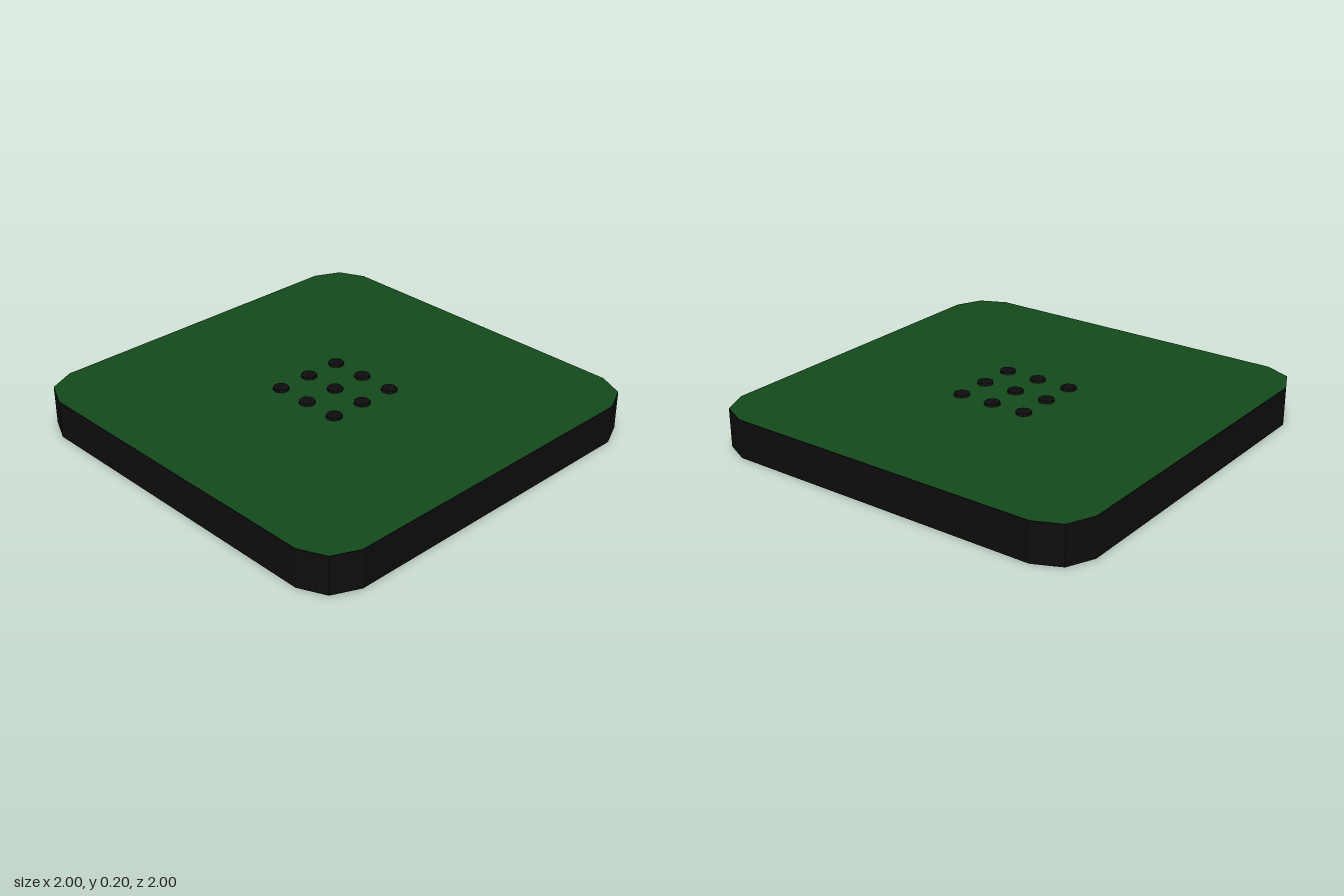
import * as THREE from 'three';

const HEIGHT = 0.19;

// Square outline with two-step chamfered corners
function outline() {
  const corner = [[1, 0.81], [0.94, 0.94], [0.81, 1]];
  const points = [];
  for (let i = 0; i < 4; i++) {
    for (const [x, y] of corner) {
      points.push(new THREE.Vector2(x, y).rotateAround(new THREE.Vector2(), i * Math.PI / 2));
    }
  }
  return new THREE.Shape(points);
}

export function createModel() {
  const group = new THREE.Group();
  const black = new THREE.MeshStandardMaterial({ color: 0x0d0d0d, flatShading: true });
  const green = new THREE.MeshStandardMaterial({ color: 0x14491b, flatShading: true });
  const add = (name, geometry, material, parent = group) => {
    const mesh = new THREE.Mesh(geometry, material);
    mesh.name = name;
    parent.add(mesh);
    return mesh;
  };

  // Dark slab
  const slab = new THREE.ExtrudeGeometry(outline(), { depth: HEIGHT, bevelEnabled: false });
  add('baseSlab', slab.rotateX(-Math.PI / 2), black);

  // Green sheet laid on the slab
  const sheet = new THREE.ShapeGeometry(outline()).rotateX(-Math.PI / 2);
  add('topSurface', sheet, green).position.y = HEIGHT + 0.003;

  // Three by three grid of low studs
  const studs = new THREE.Group();
  studs.name = 'studs';
  group.add(studs);
  const stud = new THREE.CylinderGeometry(0.038, 0.041, 0.025, 10);
  for (const x of [-0.18, 0, 0.18]) {
    for (const z of [-0.18, 0, 0.18]) {
      add('stud', stud, black, studs).position.set(x, HEIGHT + 0.0025, z);
    }
  }
  return group;
}
